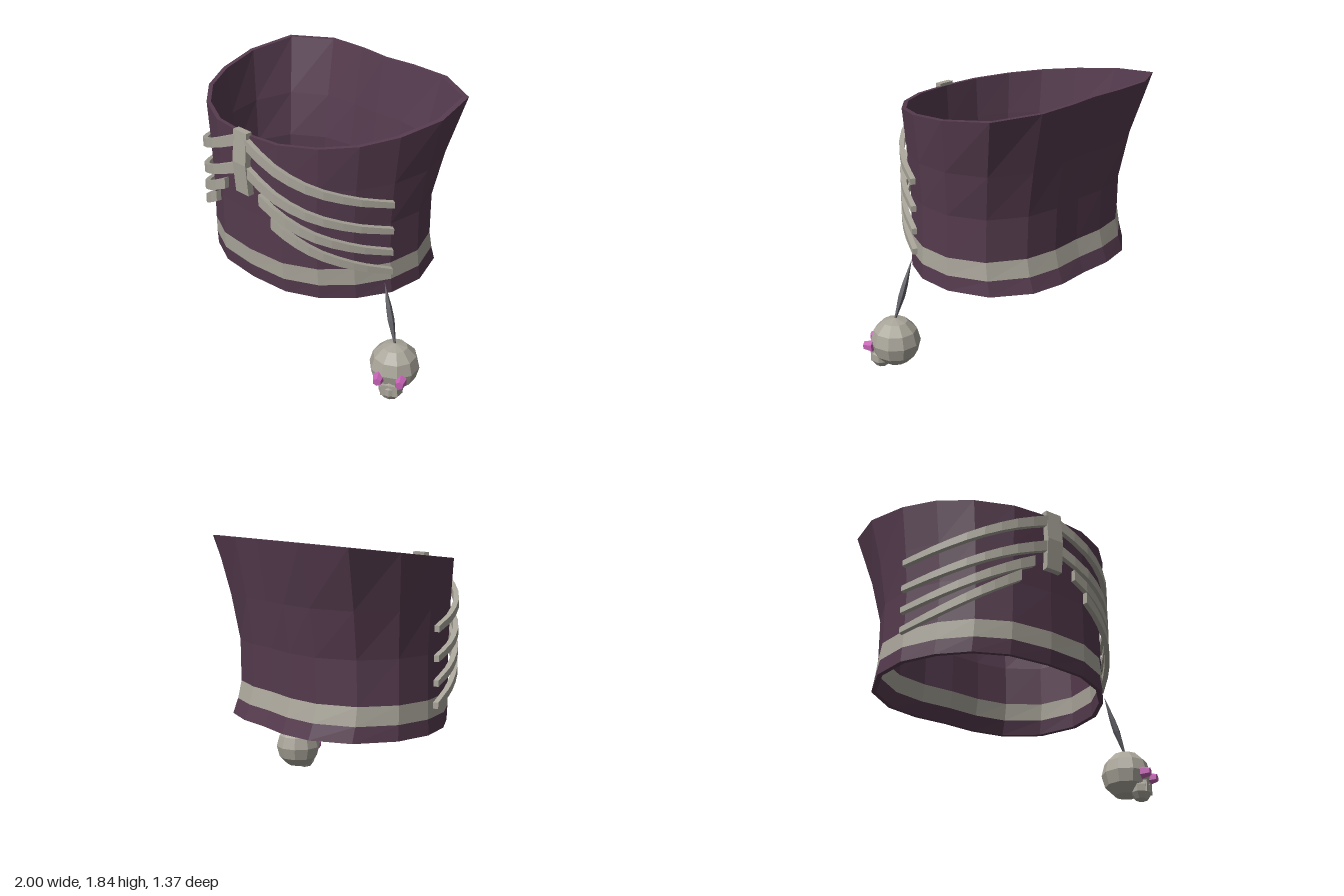
import * as THREE from 'three';

const CX = -0.11; // the garment's own centre line

// half outlines [distance from centre line, z], front to back
const WAIST = [[0, .62], [.28, .595], [.49, .49], [.65, .32], [.76, .1], [.78, -.14], [.68, -.38], [.46, -.53], [.23, -.57], [0, -.56]];
const TOP = [[0, .645], [.28, .615], [.52, .5], [.7, .33], [.82, .1], [.885, -.21], [.82, -.54], [.52, -.685], [.23, -.69], [0, -.67]];

const mat = (name, color) => {
  const m = new THREE.MeshStandardMaterial({ color, flatShading: true });
  m.name = name;
  return m;
};

function mesh(name, geometry, material, parent) {
  const m = new THREE.Mesh(geometry, material);
  m.name = name;
  parent.add(m);
  return m;
}

// flat-faced geometry from four-cornered faces
function fromQuads(quads, flip = false) {
  const pos = [];
  for (const q of quads) {
    const [a, b, c, d] = flip ? [...q].reverse() : q;
    for (const p of [a, b, c, a, c, d]) pos.push(...p);
  }
  const g = new THREE.BufferGeometry();
  g.setAttribute('position', new THREE.Float32BufferAttribute(pos, 3));
  g.computeVertexNormals();
  return g;
}

// closed ring of points: t blends waist to top, heightAt gives y from z
function ring(t, heightAt, widen = 1, backFlare = 0, frontShift = 0) {
  const half = WAIST.map(([x, z], i) => {
    const px = (x + (TOP[i][0] - x) * t) * widen;
    const pz = z + (TOP[i][1] - z) * t;
    return [px, pz + (pz < 0 ? pz * backFlare : pz * frontShift)];
  });
  const full = [...half, ...half.slice(1, -1).reverse().map(([x, z]) => [-x, z])];
  return full.map(([x, z]) => [CX + x, heightAt(z), z]);
}

const inset = r => r.map(([x, y, z]) => [CX + (x - CX) * 0.96, y, z * 0.96]);

// outer and inner walls between two rings
function wall(low, high) {
  const quads = [], n = low.length, li = inset(low), hi = inset(high);
  for (let i = 0; i < n; i++) {
    const j = (i + 1) % n;
    quads.push([low[i], low[j], high[j], high[i]]);
    quads.push([li[j], li[i], hi[i], hi[j]]);
  }
  return quads;
}

// flat edge joining the outer and inner walls
function rim(r, up) {
  const ri = inset(r);
  return r.map((p, i) => {
    const j = (i + 1) % r.length;
    const q = [p, r[j], ri[j], ri[i]];
    return up ? q : q.reverse();
  });
}

// one curved rib bar from distance d0 at height y0 to the side at y1
function rib(side, d0, y0, y1) {
  const path = new THREE.CatmullRomCurve3([[0, .655], [.28, .645], [.5, .545], [.685, .345], [.81, .13]]
    .map(([x, z]) => new THREE.Vector3(x, 0, z)));
  let u0 = 0;
  while (path.getPoint(u0).x < d0) u0 += 0.01;
  const n = 9, sections = [];
  for (let k = 0; k <= n; k++) {
    const u = u0 + (1 - u0) * k / n;
    const p = path.getPoint(u), t = path.getTangent(u);
    const y = y0 + (y1 - y0) * (p.x - d0) / (0.81 - d0);
    const h = 0.038 - 0.018 * k / n;
    const at = (off, dy) => [CX + side * (p.x - t.z * off), y + dy, p.z + t.x * off];
    sections.push([at(.016, -h), at(.016, h), at(-.018, h), at(-.018, -h)]);
  }
  const quads = [];
  for (let k = 0; k < n; k++) {
    const a = sections[k], b = sections[k + 1];
    for (let i = 0; i < 4; i++) {
      const j = (i + 1) % 4;
      quads.push([a[i], b[i], b[j], a[j]]);
    }
  }
  quads.push(sections[0], [...sections[n]].reverse());
  return fromQuads(quads, side < 0);
}

export function createModel() {
  const model = new THREE.Group();
  model.name = 'ribbedCorset';
  const cloth = mat('plum cloth', 0x553b4e);
  const bone = mat('bone', 0xa9a59a);
  const pink = mat('pink eyes', 0xc462b4);
  const cord = mat('grey cord', 0x626268);

  // corset
  const corset = new THREE.Group();
  corset.name = 'corset';
  model.add(corset);
  const hem = ring(0, () => .635, 1.03, .12, -.03);
  const bandLow = ring(0, () => .735, 1.02, .05, -.01);
  const bandHigh = ring(0, () => .855, 1.01);
  const middle = ring(.03, () => 1.14);
  const chest = ring(.38, z => 1.43 - .03 * z);
  const top = ring(1, z => 1.762 - .114 * z);
  mesh('hem', fromQuads([...wall(hem, bandLow), ...rim(hem, false)]), cloth, corset);
  mesh('waistBand', fromQuads(wall(bandLow, bandHigh)), bone, corset);
  mesh('corsetBody', fromQuads([...wall(bandHigh, middle), ...wall(middle, chest), ...wall(chest, top), ...rim(top, true)]), cloth, corset);

  // rib cage ornament
  const cage = new THREE.Group();
  cage.name = 'ribCage';
  model.add(cage);
  const sternum = mesh('sternum', new THREE.BoxGeometry(.12, .43, .045, 1, 2, 1), bone, cage);
  const sp = sternum.geometry.attributes.position;
  for (let i = 0; i < sp.count; i++) if (Math.abs(sp.getY(i)) < .01) sp.setZ(i, sp.getZ(i) + .018);
  sternum.position.set(CX, 1.495, .642);
  const ribs = [[.04, 1.64, 1.305], [.04, 1.45, 1.12], [.15, 1.3, .965], [.255, 1.165, .825]];
  for (const side of [1, -1]) {
    ribs.forEach(r => mesh(side > 0 ? 'leftRib' : 'rightRib', rib(side, ...r), bone, cage));
  }

  // hanging cord, widest below its middle
  const from = new THREE.Vector3(.685, .75, .18), to = new THREE.Vector3(.82, .35, .215);
  const dir = from.clone().sub(to);
  const spike = mesh('cord', new THREE.LatheGeometry(
    [[.006, 0], [.024, .17], [.02, .26], [.001, dir.length()]].map(p => new THREE.Vector2(...p)), 5), cord, model);
  spike.position.copy(to);
  spike.quaternion.setFromUnitVectors(new THREE.Vector3(0, 1, 0), dir.normalize());

  // skull charm
  const skull = new THREE.Group();
  skull.name = 'skullCharm';
  skull.position.set(.82, .2, .215);
  skull.rotation.y = .52;
  model.add(skull);
  const head = new THREE.SphereGeometry(.166, 10, 6);
  const hp = head.attributes.position;
  for (let i = 0; i < hp.count; i++) hp.setY(i, Math.max(hp.getY(i), -.155));
  mesh('cranium', head, bone, skull);
  const jaw = mesh('jaw', new THREE.SphereGeometry(.085, 8, 5), bone, skull);
  jaw.scale.set(1, .95, .85);
  jaw.position.set(0, -.118, .1);
  mesh('upperJaw', new THREE.BoxGeometry(.11, .08, .08), bone, skull).position.set(0, -.105, .12);
  for (const side of [1, -1]) {
    const eye = mesh(side > 0 ? 'leftEye' : 'rightEye', new THREE.CylinderGeometry(.028, .043, .06, 6), pink, skull);
    eye.rotation.x = Math.PI / 2;
    eye.position.set(side * .073, -.022, .165);
  }
  return model;
}
